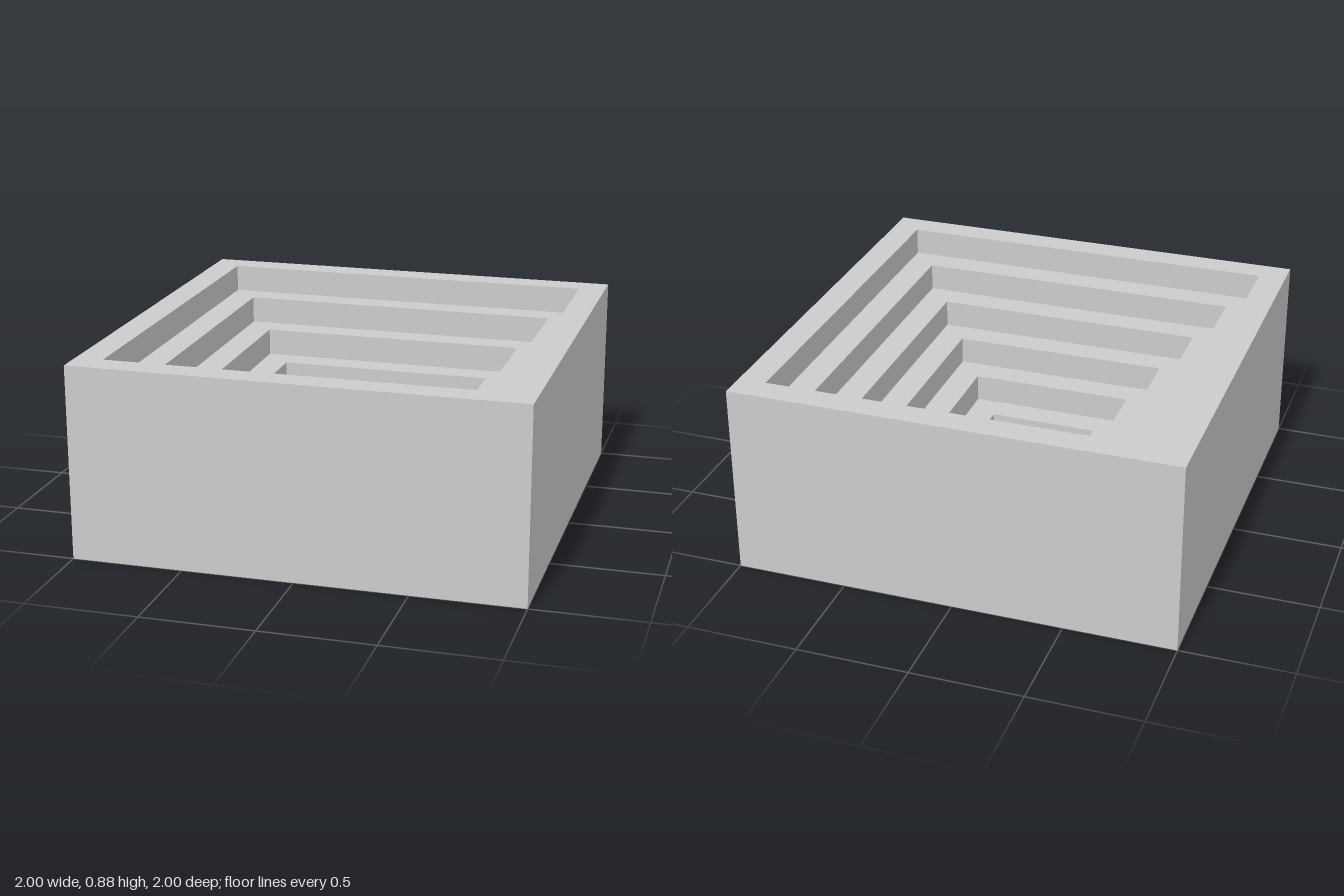
import * as THREE from 'three';

const STEP = 0.125; // tread depth and riser height
const LEVELS = 6;   // square recesses
const HEIGHT = 0.875;

export function createModel() {
  const group = new THREE.Group();
  group.name = 'steppedBasin';

  // Section from the centre of the base, up the outer wall, then down the steps
  const profile = [[0, 0], [1, 0], [1, HEIGHT]];
  for (let i = 1; i <= LEVELS; i++) {
    const half = 1 - i * STEP;
    profile.push([half, HEIGHT - (i - 1) * STEP], [half, HEIGHT - i * STEP]);
  }
  profile.push([0, HEIGHT - LEVELS * STEP]);

  // Four-sided lathe gives square rings; radius is half the diagonal
  const points = profile.map(([half, y]) => new THREE.Vector2(half * Math.SQRT2, y));
  const geometry = new THREE.LatheGeometry(points, 4).rotateY(Math.PI / 4).toNonIndexed();
  geometry.computeVertexNormals();

  const basin = new THREE.Mesh(
    geometry,
    new THREE.MeshStandardMaterial({ color: 0xcccccc, flatShading: true })
  );
  basin.name = 'basin';
  group.add(basin);
  return group;
}
